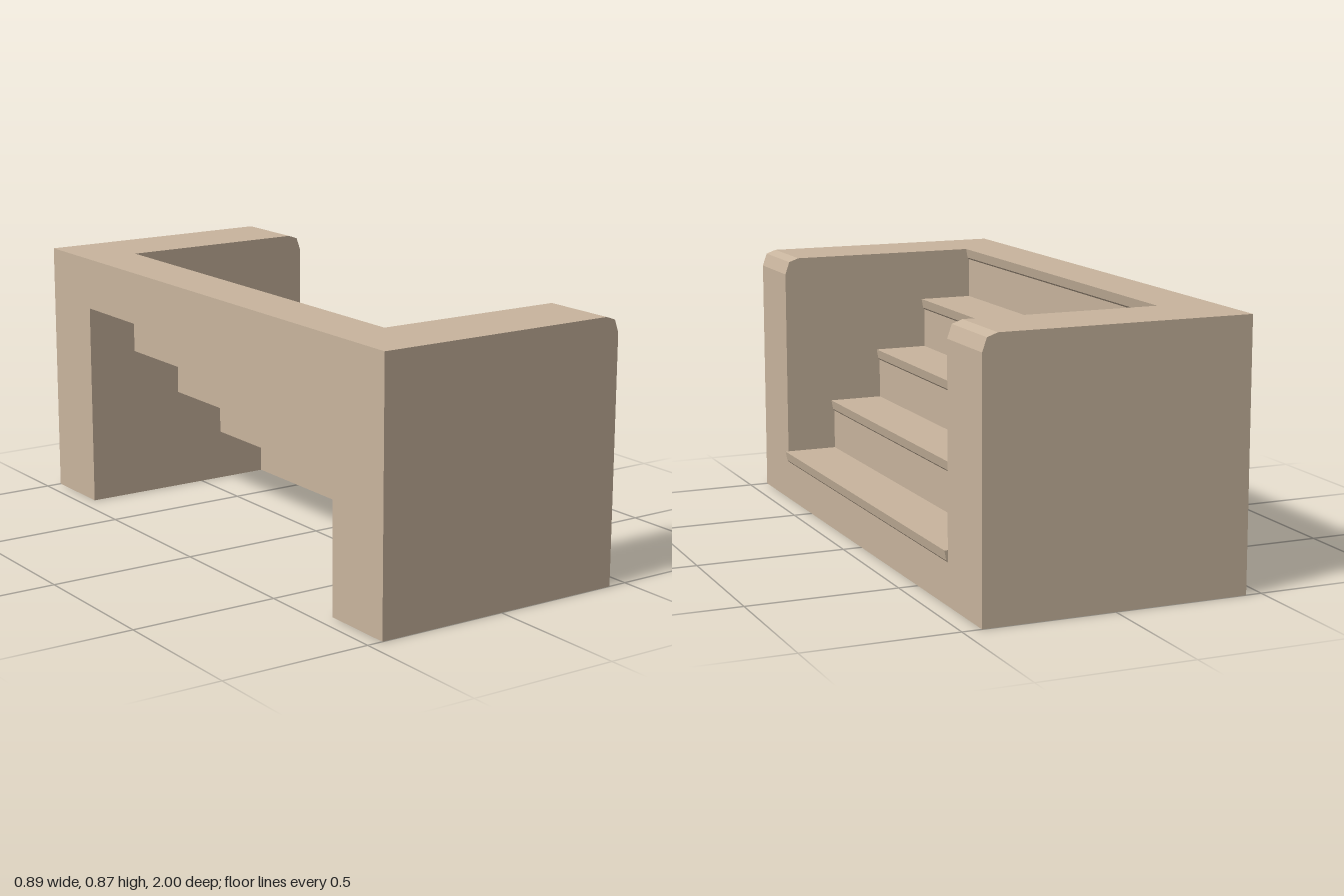
import * as THREE from 'three';

const material = new THREE.MeshStandardMaterial({ color: 0xc9b59e, flatShading: true });

// Extrude an x-y profile along z, from z0 to z1
function extrudeProfile(name, points, z0, z1) {
  const shape = new THREE.Shape(points.map(([x, y]) => new THREE.Vector2(x, y)));
  const geometry = new THREE.ExtrudeGeometry(shape, { depth: z1 - z0, bevelEnabled: false });
  geometry.translate(0, 0, z0);
  const mesh = new THREE.Mesh(geometry, material);
  mesh.name = name;
  return mesh;
}

export function createModel() {
  const group = new THREE.Group();
  group.name = 'staircase';

  const back = -0.447, front = 0.436, height = 0.872;
  const inner = 0.743, outer = 1;
  const steps = 5, rise = height / steps, run = 0.177;

  // Side walls with a chamfered top front edge
  const wallProfile = [
    [back, 0], [front, 0], [front, 0.817], [0.421, 0.86], [0.387, height], [back, height],
  ];
  group.add(extrudeProfile('leftSideWall', wallProfile, inner, outer));
  group.add(extrudeProfile('rightSideWall', wallProfile, -outer, -inner));

  // Steps: each block has a tapered nosing; the underside stays stepped and open
  for (let i = 0; i < steps; i++) {
    const riser = front - i * run;
    const rear = i === steps - 1 ? back : riser - run;
    const bottom = i * rise;
    const top = bottom + rise;
    const step = extrudeProfile(`step${i + 1}`, [
      [rear, bottom], [riser, bottom], [riser, top - 0.038],
      [riser + 0.005, top - 0.032], [riser + 0.011, top], [rear, top],
    ], -inner, inner);
    group.add(step);
  }

  return group;
}
